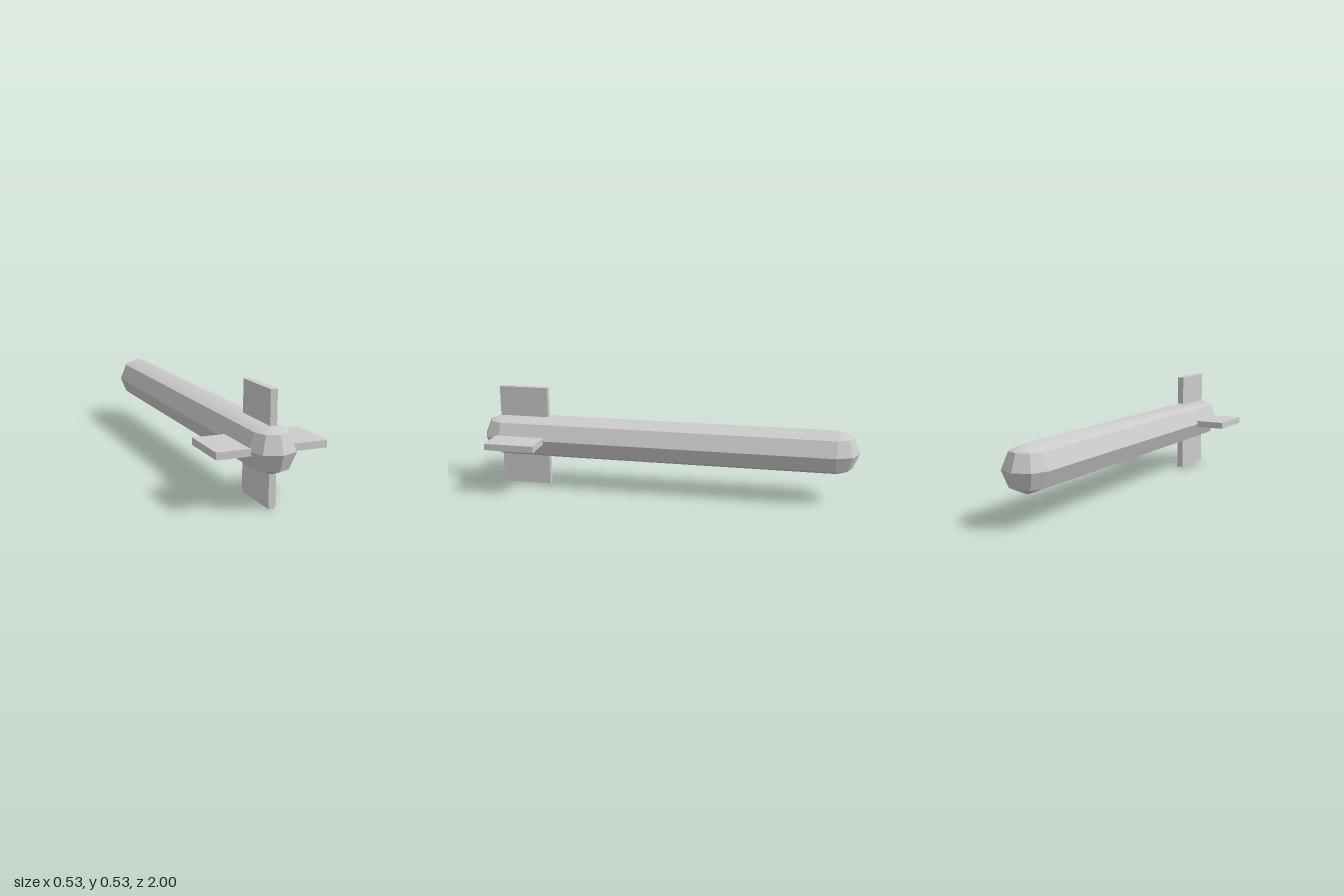
import * as THREE from 'three';

const R = 0.115;       // hull radius
const HALF = 0.885;    // half length of the straight section
const MID = 0.267;     // height of the hull axis

const material = new THREE.MeshStandardMaterial({ color: 0xcccccc });
const facetMaterial = new THREE.MeshStandardMaterial({ color: 0xcccccc, flatShading: true });

// Ten-point ring: an octagon pulled apart along z
function ring(radius, y) {
  const points = [];
  for (const end of [1, -1]) {
    for (let i = 0; i < 5; i++) {
      const a = (i - 2) * Math.PI / 4 + (end < 0 ? Math.PI : 0);
      points.push([radius * Math.sin(a), y, radius * Math.cos(a) + end * HALF]);
    }
  }
  return points;
}

// Mesh from points and triangles; side -1 has its winding reversed
function surface(name, points, triangles, side, mat) {
  const geometry = new THREE.BufferGeometry();
  geometry.setAttribute('position', new THREE.Float32BufferAttribute(points.flat(), 3));
  geometry.setIndex(triangles.flatMap(([a, b, c]) => (side > 0 ? [a, b, c] : [a, c, b])));
  geometry.computeVertexNormals();
  const mesh = new THREE.Mesh(geometry, mat);
  mesh.name = name;
  return mesh;
}

export function createModel() {
  const model = new THREE.Group();
  model.name = 'finnedCapsule';

  const hull = new THREE.Group();
  hull.name = 'hull';
  hull.position.y = MID;
  model.add(hull);

  const k = R * Math.SQRT1_2;
  for (const side of [1, -1]) {
    const label = side > 0 ? 'upper' : 'lower';
    const equator = ring(R, 0);
    const shoulder = ring(k, side * k);

    // Flat side panels between the equator and the shoulder
    const panels = [];
    // Smooth cap from the shoulder to the ridge (10 = front end, 11 = back end)
    const cap = [];
    for (let i = 0; i < 10; i++) {
      const j = (i + 1) % 10;
      panels.push([i, j, 10 + j], [i, 10 + j, 10 + i]);
      const pole = i < 5 ? 10 : 11;
      cap.push([i, j, pole]);
      if (i === 4) cap.push([j, 11, 10]);
      if (i === 9) cap.push([j, 10, 11]);
    }
    hull.add(surface(label + 'Panels', [...equator, ...shoulder], panels, side, facetMaterial));
    const poles = [[0, side * R, HALF], [0, side * R, -HALF]];
    hull.add(surface(label + 'Cap', [...shoulder, ...poles], cap, side, material));
  }

  // Four rectangular fins in a cross
  const inner = 0.08, outer = 0.267;
  const finGeometry = new THREE.BoxGeometry(outer - inner, 0.034, 0.264);
  finGeometry.translate((inner + outer) / 2, 0, 0.77);
  ['leftFin', 'topFin', 'rightFin', 'bottomFin'].forEach((name, i) => {
    const fin = new THREE.Mesh(finGeometry, material);
    fin.name = name;
    fin.position.y = MID;
    fin.rotation.z = i * Math.PI / 2;
    model.add(fin);
  });

  return model;
}
